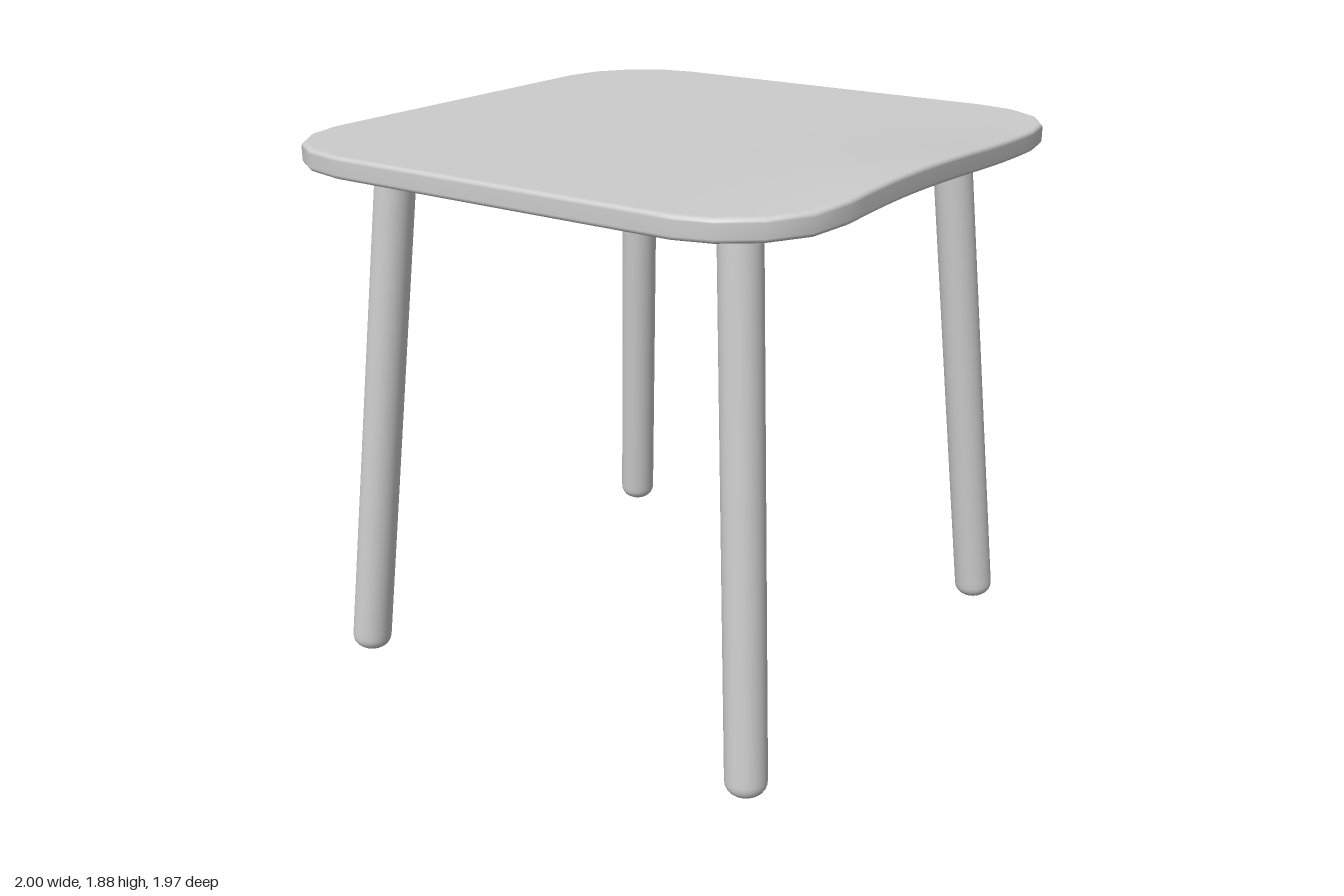
import * as THREE from 'three';

const material = new THREE.MeshStandardMaterial({ color: 0xcccccc, side: THREE.DoubleSide });

// Seat outline (x, z): four faceted corners joined by subdivided straight sides
function seatOutline() {
  const corners = [
    [[0.99, 0.63], [0.96, 0.77], [0.875, 0.88], [0.76, 0.955], [0.64, 0.985]],
    [[-0.64, 0.985], [-0.78, 0.955], [-0.89, 0.885], [-0.97, 0.77], [-1, 0.64]],
    [[-1, -0.64], [-0.97, -0.77], [-0.89, -0.885], [-0.78, -0.96], [-0.64, -0.985]],
    [[0.63, -0.985], [0.76, -0.96], [0.875, -0.885], [0.95, -0.77], [0.975, -0.64]],
  ];
  const points = [];
  const steps = 16;
  corners.forEach((corner, c) => {
    points.push(...corner);
    const from = corner[4], to = corners[(c + 1) % 4][0];
    for (let s = 1; s < steps; s++) {
      const t = s / steps;
      // The last side, on the model's left, bows out slightly
      const bow = c === 3 ? 0.014 * Math.sin(Math.PI * t) : 0;
      points.push([from[0] + (to[0] - from[0]) * t + bow, from[1] + (to[1] - from[1]) * t]);
    }
  });
  return points;
}

// Gentle wave that lifts the left edge of the seat
function lift(x, z) {
  const rise = THREE.MathUtils.smoothstep(x, 0.3, 0.98);
  const reach = z > 0.27 ? 0.8 : 0.95;
  const d = Math.min(1, Math.abs(z - 0.27) / reach);
  return 0.034 * rise * (0.5 + 0.5 * Math.cos(Math.PI * d));
}

// Slab from scaled rings of the outline, running from bottom centre to top centre
function seatGeometry() {
  const outline = seatOutline();
  const bottom = 1.777, top = 1.849, r = 0.014;
  const rings = [];
  const inner = [0, 0.15, 0.3, 0.4, 0.5, 0.6, 0.7, 0.8, 0.88, 0.94, 0.98];
  inner.forEach((s) => rings.push([s, bottom]));
  for (let k = 0; k <= 4; k++) {
    const a = (k / 4) * Math.PI / 2;
    rings.push([1 - r + r * Math.sin(a), bottom + r - r * Math.cos(a)]);
  }
  for (let k = 0; k <= 4; k++) {
    const a = (k / 4) * Math.PI / 2;
    rings.push([1 - r + r * Math.cos(a), top - r + r * Math.sin(a)]);
  }
  inner.reverse().forEach((s) => rings.push([s, top]));

  const positions = [], indices = [], n = outline.length;
  rings.forEach(([s, y], j) => {
    outline.forEach(([px, pz], i) => {
      const x = px * s, z = pz * s;
      positions.push(x, y + lift(x, z), z);
      if (j === rings.length - 1) return;
      const a = j * n + i, c = j * n + (i + 1) % n;
      indices.push(a, a + n, c, c, a + n, c + n);
    });
  });
  const geometry = new THREE.BufferGeometry();
  geometry.setAttribute('position', new THREE.Float32BufferAttribute(positions, 3));
  geometry.setIndex(indices);
  geometry.computeVertexNormals();
  return geometry;
}

// Round leg with a softened foot, standing on its local origin
function legGeometry(length) {
  const radius = 0.068, r = 0.045;
  const profile = [new THREE.Vector2(0, 0)];
  for (let k = 0; k <= 6; k++) {
    const a = (k / 6) * Math.PI / 2;
    profile.push(new THREE.Vector2(radius - r + r * Math.sin(a), r - r * Math.cos(a)));
  }
  profile.push(new THREE.Vector2(radius, r + 0.02), new THREE.Vector2(radius, length));
  return new THREE.LatheGeometry(profile, 32);
}

export function createModel() {
  const group = new THREE.Group();

  const seat = new THREE.Mesh(seatGeometry(), material);
  seat.name = 'seat';
  group.add(seat);

  // Four splayed legs, their tops sunk into the seat
  for (const sx of [1, -1]) {
    for (const sz of [1, -1]) {
      const foot = new THREE.Vector3(-0.01 + sx * 0.808, 0.002, sz * 0.812);
      const head = new THREE.Vector3(-0.01 + sx * 0.668, 1.81, sz * 0.67);
      const axis = head.clone().sub(foot);
      const leg = new THREE.Mesh(legGeometry(axis.length()), material);
      leg.position.copy(foot);
      leg.quaternion.setFromUnitVectors(new THREE.Vector3(0, 1, 0), axis.normalize());
      leg.name = (sz > 0 ? 'front' : 'back') + (sx > 0 ? 'Left' : 'Right') + 'Leg';
      group.add(leg);
    }
  }
  return group;
}
